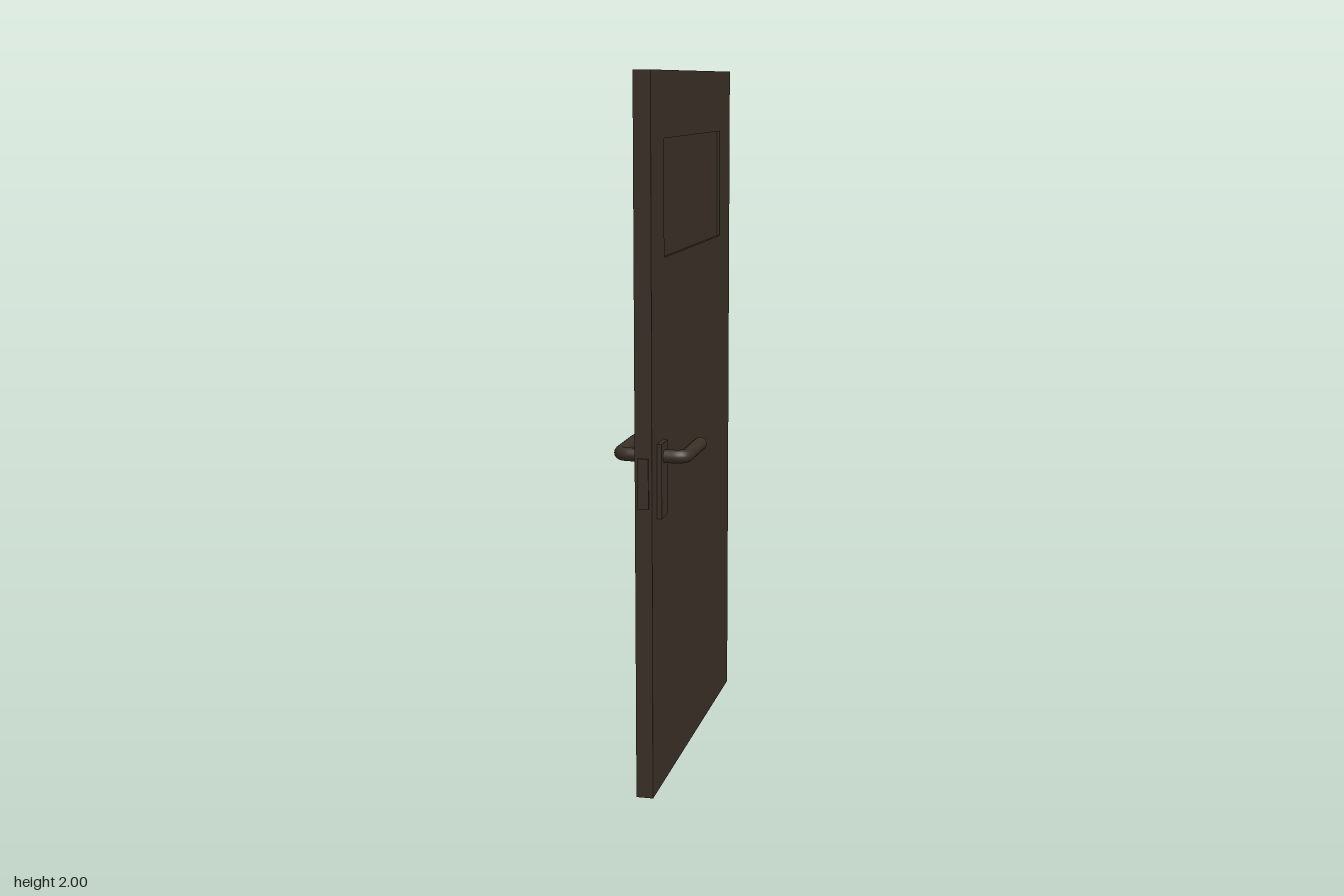
import * as THREE from 'three';

const darkBrown = new THREE.MeshStandardMaterial({ color: 0x3a3026 });
darkBrown.name = 'darkBrown';

const BACK = -0.507, FRONT = 0.502, HALF = 0.024;

function add(parent, name, geometry, x = 0, y = 0, z = 0) {
  const mesh = new THREE.Mesh(geometry, darkBrown);
  mesh.name = name;
  mesh.position.set(x, y, z);
  parent.add(mesh);
  return mesh;
}

// Rectangle from (z0, y0) to (z1, y1)
function rect(Type, z0, y0, z1, y1) {
  const p = new Type();
  p.moveTo(z0, y0).lineTo(z1, y0).lineTo(z1, y1).lineTo(z0, y1).closePath();
  return p;
}

// Lever handle with its back plate; side is +1 or -1 along x
function createHandle(side) {
  const handle = new THREE.Group();
  handle.name = side > 0 ? 'leftHandle' : 'rightHandle';
  add(handle, 'backPlate', new THREE.BoxGeometry(0.016, 0.21, 0.07), side * 0.029, 0.895, 0.41);

  // Bar leaves the plate, bends once and runs along the door
  const v = (x, z) => new THREE.Vector3(side * x, 0.96, z);
  const bend = 0.032, reach = 0.094, radius = 0.019;
  const path = new THREE.CurvePath();
  path.add(new THREE.LineCurve3(v(0.03, 0.41), v(reach - bend, 0.41)));
  path.add(new THREE.QuadraticBezierCurve3(v(reach - bend, 0.41), v(reach, 0.41), v(reach, 0.41 - bend)));
  path.add(new THREE.LineCurve3(v(reach, 0.41 - bend), v(reach, 0.22)));
  add(handle, 'lever', new THREE.TubeGeometry(path, 48, radius, 16));

  // Bevelled tip
  const tip = new THREE.CylinderGeometry(0.011, radius, 0.01, 16);
  tip.rotateX(-Math.PI / 2);
  add(handle, 'leverTip', tip, side * reach, 0.96, 0.215);
  return handle;
}

export function createModel() {
  const door = new THREE.Group();
  door.name = 'door';

  // Slab with an opening for the upper panel
  const outline = rect(THREE.Shape, BACK, 0, FRONT, 2);
  outline.holes.push(rect(THREE.Path, -0.357, 1.5, 0.357, 1.82));
  const slab = new THREE.ExtrudeGeometry(outline, { depth: HALF * 2, bevelEnabled: false });
  slab.translate(0, 0, -HALF);
  slab.rotateY(-Math.PI / 2);
  add(door, 'slab', slab);
  add(door, 'upperPanel', new THREE.BoxGeometry(0.032, 0.32, 0.714), 0, 1.66, 0);

  // Lock plate on the opening edge
  add(door, 'lockPlate', new THREE.BoxGeometry(0.03, 0.14, 0.008), 0, 0.9, 0.503);

  for (const side of [1, -1]) door.add(createHandle(side));
  return door;
}
